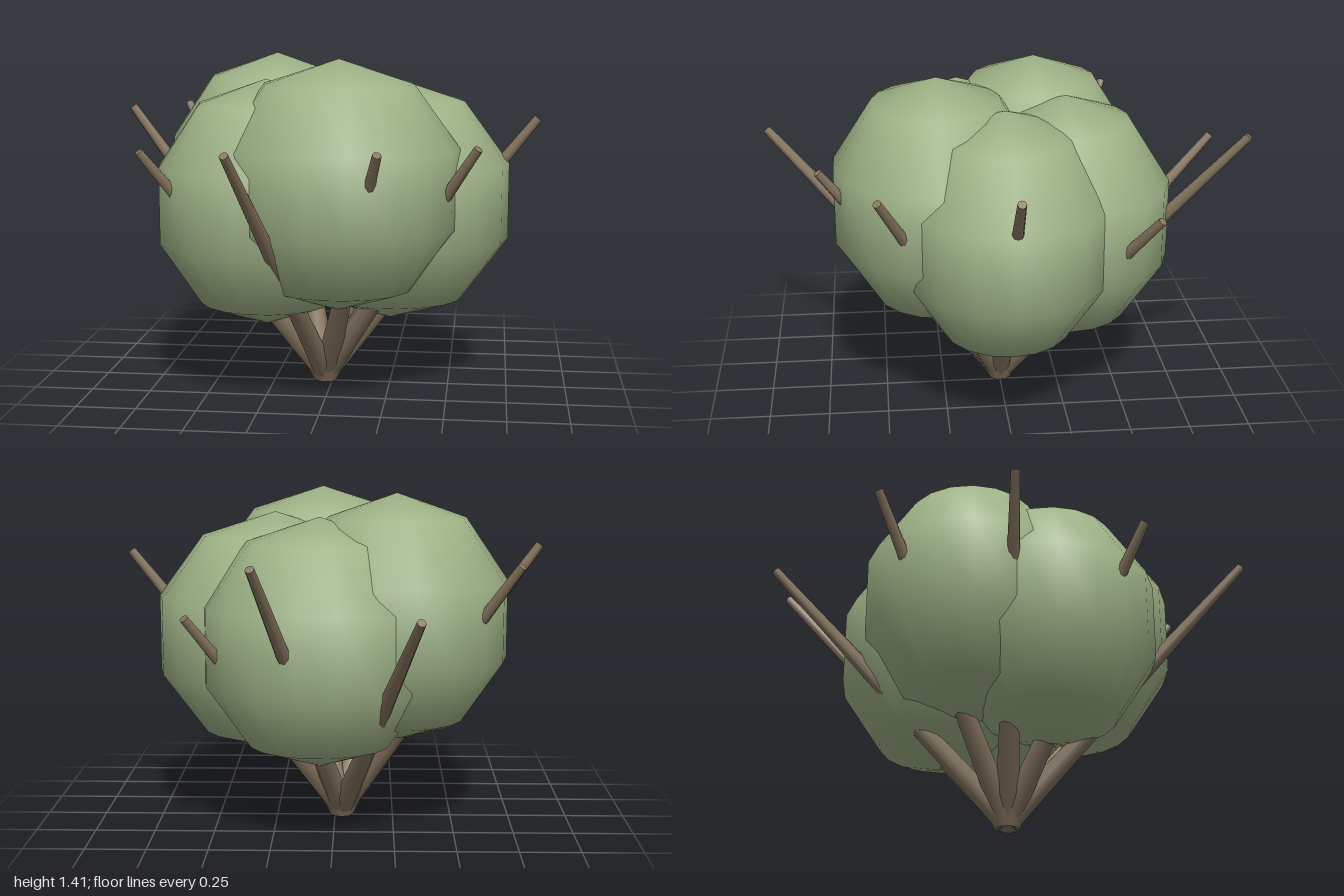
import * as THREE from 'three';

export function createModel() {
  const model = new THREE.Group();
  const leaf = new THREE.MeshStandardMaterial({ color: 0x9db185 });
  const bark = new THREE.MeshStandardMaterial({ color: 0x85745f });
  const baseX = -0.03;

  // Foliage: five coarse, smooth lumps in a ring, alternating in height
  const foliage = new THREE.Group();
  foliage.name = 'foliage';
  const widths = [0.52, 0.515, 0.472, 0.48, 0.5];
  widths.forEach((rx, i) => {
    const a = (i / 5) * Math.PI * 2;
    const lump = new THREE.Mesh(new THREE.SphereGeometry(1, 18, 5), leaf);
    lump.name = 'foliageLump';
    lump.scale.set(rx, 0.515, 0.455);
    lump.position.set(baseX + 0.28 * Math.cos(a), i % 2 ? 0.89 : 0.8, 0.28 * Math.sin(a));
    foliage.add(lump);
  });
  model.add(foliage);

  // Branches: straight tapered sticks fanning out from one foot, listed by tip
  const tips = [
    [0.86, 1.15, 0], [0.62, 1.08, 0.52], [0.25, 1.08, 0.75], [-0.28, 1.1, 0.98], [-0.71, 1.05, 0.51],
    [-0.86, 1.18, -0.01], [-0.73, 1.15, -0.54], [-0.33, 1.0, -0.97], [0.28, 1.19, -0.98], [0.57, 0.95, -0.58],
  ];
  const foot = new THREE.Vector3(baseX, 0.03, 0);
  const up = new THREE.Vector3(0, 1, 0);
  const branches = new THREE.Group();
  branches.name = 'branches';
  for (const tip of tips) {
    const dir = new THREE.Vector3(...tip).sub(foot);
    const length = dir.length();
    const branch = new THREE.Mesh(new THREE.CylinderGeometry(0.018, 0.05, length, 8), bark);
    branch.name = 'branch';
    branch.position.copy(foot).addScaledVector(dir, 0.5);
    branch.quaternion.setFromUnitVectors(up, dir.normalize());
    branches.add(branch);
  }
  model.add(branches);

  // Short foot where the branches meet the ground
  const stump = new THREE.Mesh(new THREE.CylinderGeometry(0.08, 0.05, 0.06, 10), bark);
  stump.name = 'stemFoot';
  stump.position.set(baseX, 0.03, 0);
  model.add(stump);

  return model;
}
